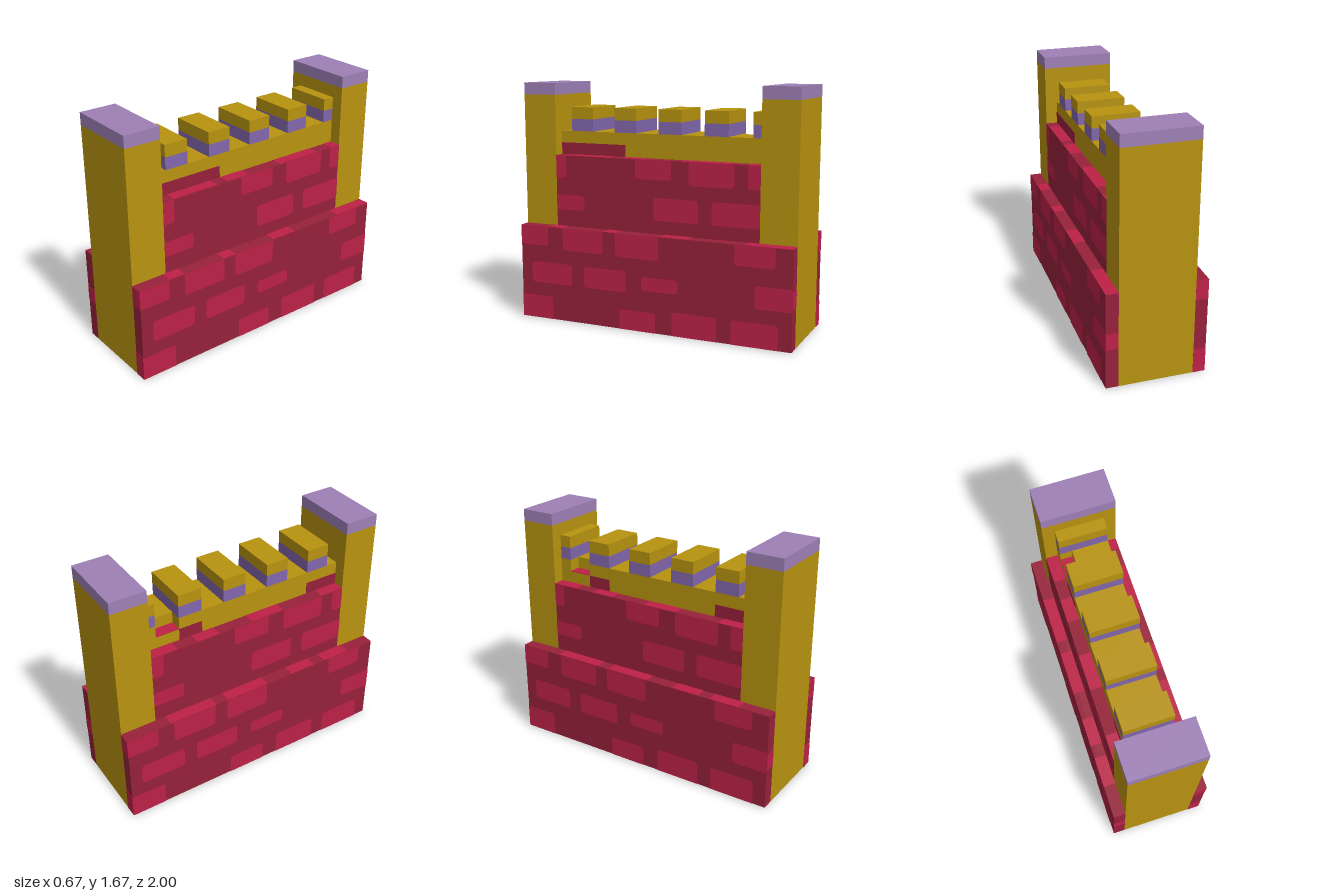
import * as THREE from 'three';

const mat = (name, color) => {
  const m = new THREE.MeshStandardMaterial({ color });
  m.name = name;
  return m;
};

export function createModel() {
  const gold = mat('gold stone', 0xb8930f);
  const mortar = mat('dark red mortar', 0x97213a);
  const brick = mat('bright red brick', 0xbd2147);
  const lilac = mat('lilac cap', 0x9e80b6);
  const violet = mat('violet band', 0x8266ac);

  const model = new THREE.Group();
  model.name = 'castleWall';

  // Box given by its limits on each axis
  const box = (parent, name, material, [x0, x1], [y0, y1], [z0, z1]) => {
    const mesh = new THREE.Mesh(new THREE.BoxGeometry(x1 - x0, y1 - y0, z1 - z0), material);
    mesh.position.set((x0 + x1) / 2, (y0 + y1) / 2, (z0 + z1) / 2);
    mesh.name = name;
    parent.add(mesh);
    return mesh;
  };

  // Brick face looking along +x; corners are round except on the wall's borders
  const brickFace = (parent, x, [z0, z1, y0, y1], zMax, yMin, yMax) => {
    const r = 0.025;
    const round = (z, y) => (Math.abs(z) >= zMax || y <= yMin || y >= yMax ? 0 : r);
    const a = -z1, b = -z0;
    const s = new THREE.Shape();
    const corners = [[a, y0, 1, 0, 0, 1], [b, y0, 0, 1, -1, 0], [b, y1, -1, 0, 0, -1], [a, y1, 0, -1, 1, 0]];
    corners.forEach(([u, v, ox, oy, ix, iy], i) => {
      const k = round(u, v);
      if (i) s.lineTo(u + ix * k, v + iy * k);
      else s.moveTo(u + ix * k, v + iy * k);
      if (k) s.quadraticCurveTo(u, v, u + ox * k, v + oy * k);
    });
    s.closePath();
    const mesh = new THREE.Mesh(new THREE.ShapeGeometry(s, 4), brick);
    mesh.rotation.y = Math.PI / 2;
    mesh.position.x = x + 0.003;
    mesh.name = 'brick';
    parent.add(mesh);
  };

  const H = 0.667, MID = 1.167, TOP = 1.333;
  const baseBricks = [
    [0.75, 1, 0, 0.165], [-0.05, 0.22, 0, 0.14], [-0.49, -0.17, 0, 0.165], [-0.91, -0.59, 0, 0.165],
    [0.59, 0.915, 0.26, 0.41], [0.17, 0.495, 0.26, 0.41], [-0.215, 0.055, 0.29, 0.385], [-1, -0.75, 0.26, 0.41],
    [0.78, 1, 0.53, H], [0.345, 0.66, 0.51, H], [-0.075, 0.25, 0.505, H], [-0.885, -0.61, 0.53, H],
  ];
  const midBricks = [
    [0.67, 0.75, 1.01, MID], [-0.13, 0.135, 1.035, MID], [-0.575, -0.255, 1.01, MID], [-0.75, -0.665, 1.01, MID],
    [0.53, 0.75, 0.785, 0.89], [-0.325, 0, 0.76, 0.915], [-0.75, -0.42, 0.76, 0.915],
  ];

  // Wall core between the towers
  box(model, 'baseCore', mortar, [-0.25, 0.25], [0, H], [-0.75, 0.75]);
  box(model, 'middleWall', mortar, [-0.25, 0.25], [H, MID], [-0.75, 0.75]);

  // Both long sides: the second is the first turned half way round
  for (const turn of [0, Math.PI]) {
    const side = new THREE.Group();
    side.name = turn ? 'rightSide' : 'leftSide';
    side.rotation.y = turn;
    model.add(side);
    box(side, 'baseSlab', mortar, [0.25, 0.333], [0, H], [-1, 1]);
    baseBricks.forEach((b) => brickFace(side, 0.333, b, 1, 0, H));
    midBricks.forEach((b) => brickFace(side, 0.25, b, 0.75, H, MID));

    // Bricks showing on the slab ends
    for (const [y0, y1] of [[0, 0.17], [0.53, H]])
      box(side, 'endBrick', brick, [0.25, 0.333], [y0, y1], [0.999, 1.002]);
    box(side, 'endBrick', brick, [0.25, 0.333], [0.28, 0.39], [-1.002, -0.999]);
  }

  // Bricks showing on the ledges: [x limits, height, z limits]
  const ledges = [
    [[0.25, 0.333], H, [[-1, -0.68], [-0.28, -0.08], [0.245, 0.345], [0.66, 0.78]]],
    [[-0.333, -0.25], H, [[-0.68, -0.33], [-0.24, 0.08], [0.28, 0.48], [0.57, 0.78]]],
    [[0.167, 0.25], MID, [[-0.75, -0.67], [-0.54, -0.2], [0.07, 0.25], [0.33, 0.67]]],
    [[-0.25, -0.167], MID, [[-0.75, -0.56], [-0.42, -0.25], [0, 0.25], [0.57, 0.75]]],
  ];
  for (const [x, y, spans] of ledges)
    for (const z of spans) box(model, 'ledgeBrick', brick, x, [y - 0.001, y + 0.002], z);

  // Underside: bright brick crossed by a dark mortar band
  const under = (name, material, y, points) => {
    const shape = new THREE.Shape(points.map(([x, z]) => new THREE.Vector2(x, z)));
    const mesh = new THREE.Mesh(new THREE.ShapeGeometry(shape), material);
    mesh.rotation.x = Math.PI / 2;
    mesh.position.y = y;
    mesh.name = name;
    model.add(mesh);
  };
  under('undersideBrick', brick, -0.001, [
    [-0.333, -1], [-0.25, -1], [-0.25, -0.75], [0.25, -0.75], [0.25, -1], [0.333, -1],
    [0.333, 1], [0.25, 1], [0.25, 0.75], [-0.25, 0.75], [-0.25, 1], [-0.333, 1],
  ]);
  under('undersideBand', mortar, -0.003, [[0.333, 0.55], [0.333, 0.05], [-0.333, -0.7], [-0.333, -0.15]]);

  // Towers with lilac caps
  for (const z of [[0.75, 1], [-1, -0.75]]) {
    box(model, 'tower', gold, [-0.25, 0.25], [0, 1.585], z);
    box(model, 'towerCap', lilac, [-0.25, 0.25], [1.585, 1.667], z);
  }

  // Parapet with a broken corner on its right side
  const W = [-0.167, 0.167];
  box(model, 'parapetLower', gold, W, [MID, 1.25], [-0.75, 0.75]);
  box(model, 'parapetUpper', gold, W, [1.25, TOP], [-0.5, 0.75]);
  box(model, 'parapetUpper', gold, W, [1.25, TOP], [-0.75, -0.667]);
  box(model, 'parapetNotch', gold, [-0.083, 0.167], [1.25, TOP], [-0.667, -0.5]);
  box(model, 'notchFloor', brick, [-0.167, -0.083], [1.249, 1.253], [-0.667, -0.5]);
  box(model, 'parapetPatch', mortar, [0.166, 0.17], [MID, 1.25], [0.25, 0.75]);
  for (const z of [[0.5, 0.75], [-0.5, -0.333]])
    box(model, 'parapetPatch', mortar, [-0.17, -0.166], [MID, 1.25], z);

  // Battlements
  for (const z of [[0.5, 0.667], [0.167, 0.333], [-0.167, 0], [-0.5, -0.333], [-0.75, -0.667]]) {
    box(model, 'merlonBand', violet, W, [TOP, 1.417], z);
    box(model, 'merlonTop', gold, W, [1.417, 1.5], z);
  }
  return model;
}
